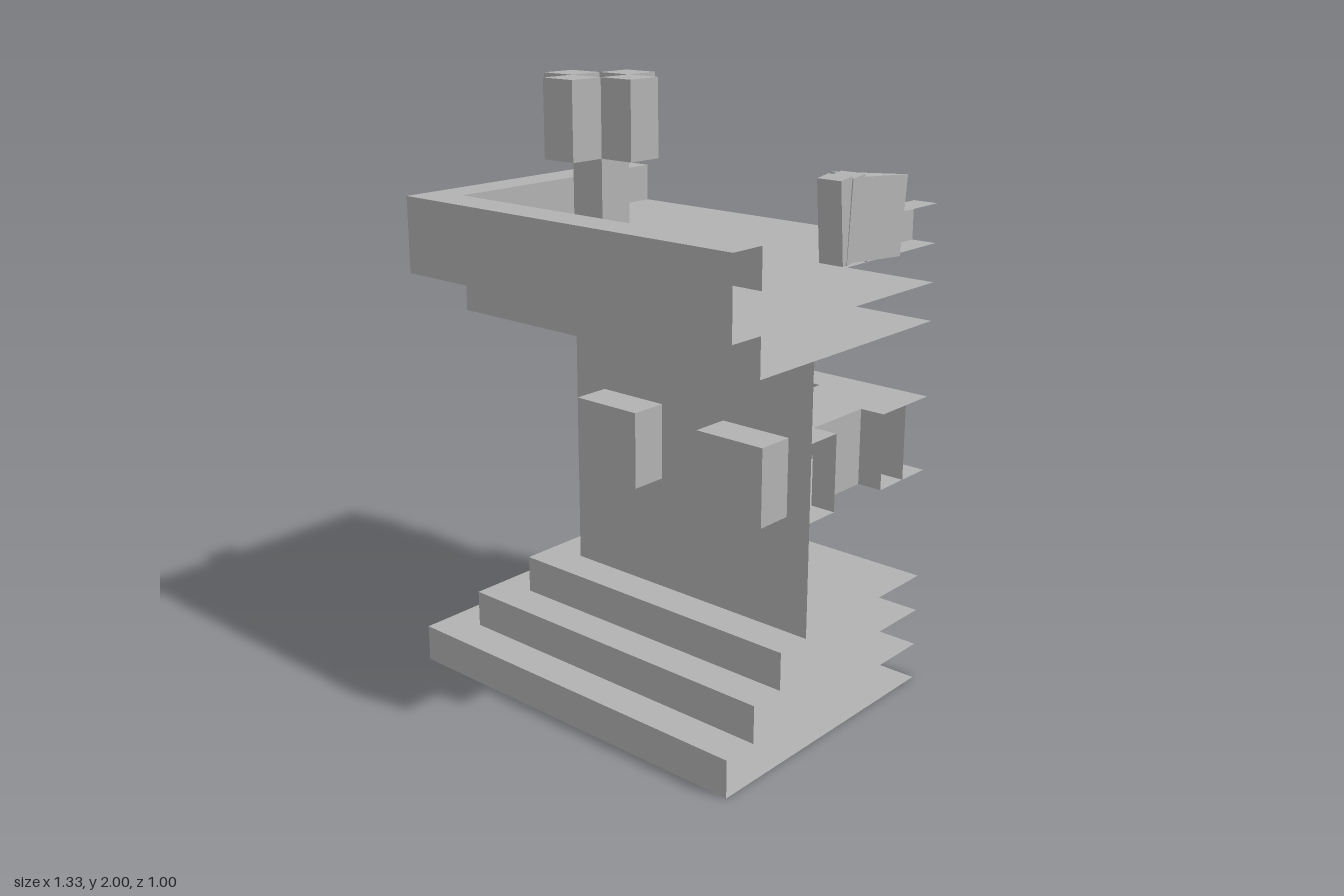
import * as THREE from 'three';
import { ConvexGeometry } from 'three/addons/geometries/ConvexGeometry.js';

// Shared limits: the tower is a corner section, open along +x and -z
const R = 0.667, B = -0.5;

export function createModel() {
  const model = new THREE.Group();
  const stone = new THREE.MeshStandardMaterial({ color: 0xb2b2b2, side: THREE.DoubleSide });
  stone.name = 'stone';
  stone.flatShading = true;

  const add = (parent, name, geo) => {
    const mesh = new THREE.Mesh(geo, stone);
    mesh.name = name;
    parent.add(mesh);
    return mesh;
  };
  const group = (name) => {
    const g = new THREE.Group();
    g.name = name;
    model.add(g);
    return g;
  };
  // Horizontal sheet
  const plate = (p, name, y, x0, x1, z0, z1) =>
    add(p, name, new THREE.PlaneGeometry(x1 - x0, z1 - z0).rotateX(-Math.PI / 2)
      .translate((x0 + x1) / 2, y, (z0 + z1) / 2));
  // Wall facing z
  const wallZ = (p, name, z, x0, x1, y0, y1) =>
    add(p, name, new THREE.PlaneGeometry(x1 - x0, y1 - y0).translate((x0 + x1) / 2, (y0 + y1) / 2, z));
  // Wall facing -x
  const wallX = (p, name, x, z0, z1, y0, y1) =>
    add(p, name, new THREE.PlaneGeometry(z1 - z0, y1 - y0).rotateY(-Math.PI / 2)
      .translate(x, (y0 + y1) / 2, (z0 + z1) / 2));
  const box = (p, name, x0, x1, y0, y1, z0, z1) =>
    add(p, name, new THREE.BoxGeometry(x1 - x0, y1 - y0, z1 - z0)
      .translate((x0 + x1) / 2, (y0 + y1) / 2, (z0 + z1) / 2));
  // The two outer walls of one storey
  const storey = (p, name, x, z, y0, y1) => {
    wallZ(p, name + 'Front', z, x, R, y0, y1);
    wallX(p, name + 'Side', x, B, z, y0, y1);
  };

  // Stepped base
  const base = group('base');
  plate(base, 'baseBottom', 0, -R, R, B, 0.5);
  [[-R, 0.5], [-0.542, 0.375], [-0.417, 0.25]].forEach(([x, z], i) => {
    storey(base, 'step', x, z, i * 0.125, (i + 1) * 0.125);
    plate(base, 'stepTop', (i + 1) * 0.125, x, R, B, z);
  });

  // Tower shaft
  storey(group('shaft'), 'shaftWall', -0.292, 0.125, 0.375, 1.25);

  // Projecting blocks around the shaft
  const blocks = group('blocks');
  for (const x of [-0.167, 0.333]) box(blocks, 'frontBlock', x, x + 0.25, 0.75, 1, 0.125, 0.25);
  box(blocks, 'sideBlock', -0.417, -0.292, 0.75, 1, -0.25, 0);
  wallX(blocks, 'cornerBlockSide', -0.417, B, -0.375, 0.75, 1);
  wallZ(blocks, 'cornerBlockFront', -0.375, -0.417, -0.292, 0.75, 1);
  for (const y of [0.75, 1]) plate(blocks, 'cornerBlockCap', y, -0.417, -0.292, B, -0.375);

  // Inner floor: notched outline with a shaft opening (shape y is -z)
  const floor = group('innerFloor');
  const outline = new THREE.Shape([
    [-0.292, -0.125], [R, -0.125], [R, 0], [0.583, 0], [0.583, 0.25], [R, 0.25], [R, 0.5], [-0.292, 0.5],
  ].map(([x, y]) => new THREE.Vector2(x, y)));
  outline.holes.push(new THREE.Path([
    [0.083, 0.25], [0.083, 0.375], [0.333, 0.375], [0.333, 0.25],
  ].map(([x, y]) => new THREE.Vector2(x, y))));
  for (const y of [0.75, 1]) {
    add(floor, 'floorSlab', new THREE.ShapeGeometry(outline).rotateX(-Math.PI / 2).translate(0, y, 0));
  }
  // Walls and ribs of the floor's open edges
  wallZ(floor, 'backInnerWall', -0.375, -0.292, 0.583, 0.75, 1);
  for (const x of [-0.167, 0.083, 0.333, 0.583]) wallX(floor, 'backRib', x, B, -0.375, 0.75, 1);
  wallX(floor, 'sideInnerWall', 0.583, -0.375, 0, 0.75, 1);
  for (const z of [0, -0.25, -0.375]) wallZ(floor, 'sideRib', z, 0.583, R, 0.75, 1);

  // Overhanging top and parapet
  const top = group('top');
  plate(top, 'topUnderside', 1.25, -0.542, R, B, 0.375);
  storey(top, 'corbel', -0.542, 0.375, 1.25, 1.375);
  plate(top, 'parapetUnderside', 1.375, -R, R, B, 0.5);
  storey(top, 'parapetOuter', -R, 0.5, 1.375, 1.625);
  storey(top, 'parapetInner', -0.542, 0.375, 1.5, 1.625);
  plate(top, 'roofFloor', 1.5, -0.542, R, B, 0.375);
  plate(top, 'frontRim', 1.625, -R, R, 0.375, 0.5);
  plate(top, 'sideRim', 1.625, -R, -0.542, B, 0.375);

  // Low ledge on the open side
  wallX(top, 'ledgeWall', 0.583, B, -0.125, 1.5, 1.625);
  wallZ(top, 'ledgeEnd', -0.125, 0.583, R, 1.5, 1.625);
  plate(top, 'ledgeTop', 1.625, 0.583, R, B, -0.125);

  // Post with four blocks around an open centre
  const post = group('post');
  box(post, 'postStem', -0.292, -0.167, 1.5, 1.75, 0, 0.125);
  for (const [dx, dz] of [[1, 0], [-1, 0], [0, 1], [0, -1]]) {
    const x = -0.292 + dx * 0.125, z = dz * 0.125;
    box(post, 'postBlock', x, x + 0.125, 1.75, 2, z, z + 0.125);
  }

  // Tilted slab and two wedges beside the ledge
  const hull = (p, name, pts) =>
    add(p, name, new ConvexGeometry(pts.map((v) => new THREE.Vector3(...v))));
  const debris = group('tiltedPieces');
  hull(debris, 'tiltedSlab', [
    [0.537, 1.755, -0.107], [R, 1.735, -0.325], [R, 1.757, -0.06],
    [0.54, 1.505, -0.085], [R, 1.49, -0.3], [R, 1.51, -0.04],
  ]);
  const wedge = (t0, t1, b0, b1) => hull(debris, 'wedge', [0.583, R].flatMap((x) => [
    [x, 1.755, t0], [x, 1.763, t1], [x, 1.505, b0], [x, 1.51, b1],
  ]));
  wedge(0.02, -0.035, -0.002, -0.02);
  wedge(-0.04, -0.1, -0.022, -0.06);

  return model;
}
